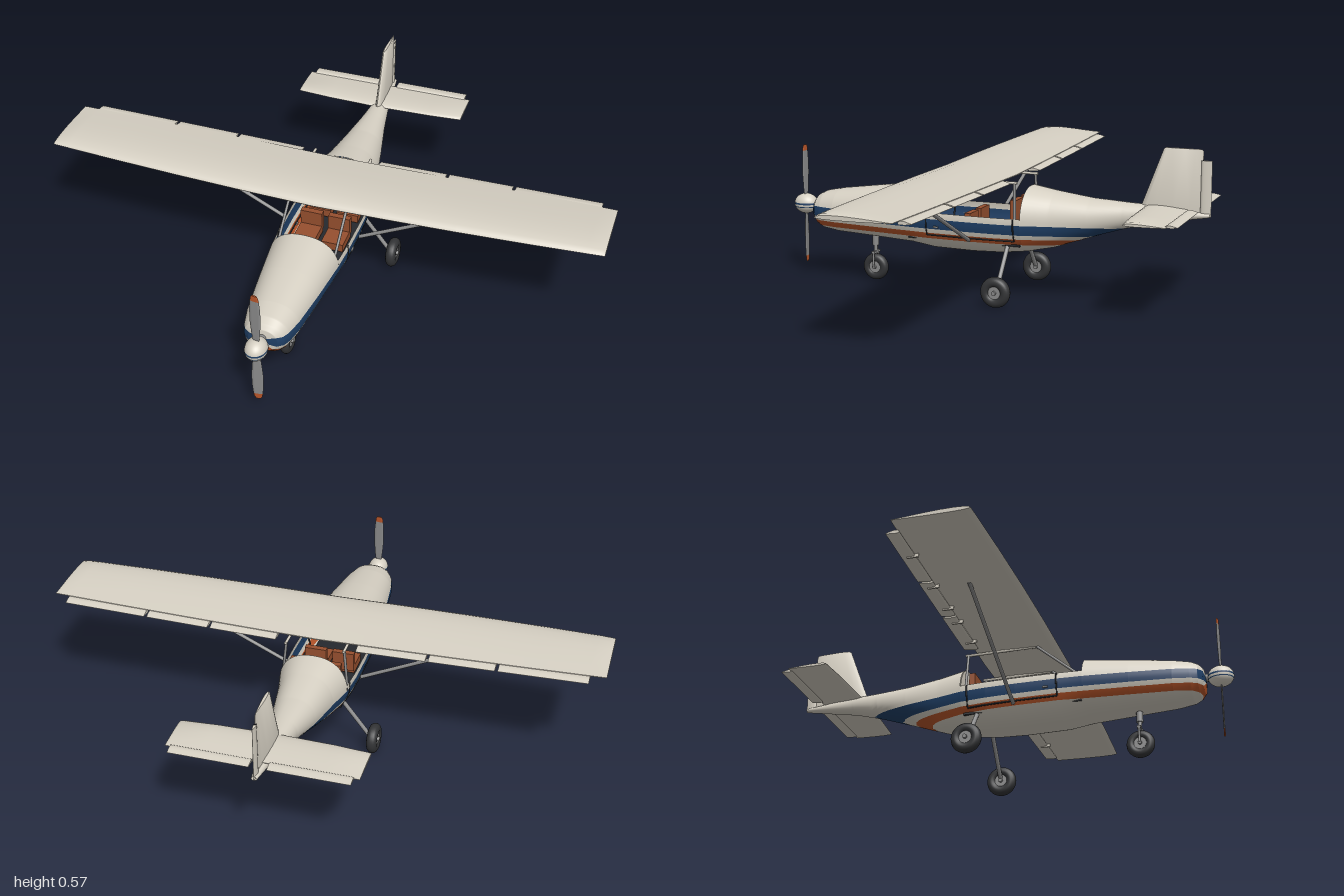
import * as THREE from 'three';
import { toCreasedNormals } from 'three/addons/utils/BufferGeometryUtils.js';

const mat = (name, color, side = THREE.FrontSide) => {
  const m = new THREE.MeshStandardMaterial({ color, side });
  m.name = name;
  return m;
};

export function createModel() {
  const cream = mat('cream paint', 0xd6d0c3, THREE.DoubleSide);
  const navy = mat('navy stripe', 0x1f3f66, THREE.DoubleSide);
  const orange = mat('orange stripe', 0xb9562a, THREE.DoubleSide);
  const metal = mat('grey metal', 0x8c8c8c);
  const rubber = mat('black rubber', 0x333436);
  const leather = mat('brown leather', 0x97502f);
  const dark = mat('dark trim', 0x26292e);

  const model = new THREE.Group();
  model.name = 'highWingAircraft';
  const add = (name, geo, material, x = 0, y = 0, z = 0, parent = model) => {
    const m = new THREE.Mesh(geo, material);
    m.name = name;
    m.position.set(x, y, z);
    parent.add(m);
    return m;
  };

  // Surface through equal-length rows of points; closed rows get end caps
  const loft = (rows, closed = false, crease = 0) => {
    if (closed) {
      const flat = r => {
        const c = [0, 1, 2].map(k => r.reduce((s, p) => s + p[k], 0) / r.length);
        return r.map(() => c);
      };
      rows = [flat(rows[0]), ...rows, flat(rows[rows.length - 1])];
    }
    const n = rows[0].length, index = [];
    for (let i = 0; i < rows.length - 1; i++) {
      for (let j = 0; j < (closed ? n : n - 1); j++) {
        const k = (j + 1) % n, a = i * n + j, b = a + n, c = (i + 1) * n + k, d = i * n + k;
        index.push(a, b, c, a, c, d);
      }
    }
    const g = new THREE.BufferGeometry();
    g.setAttribute('position', new THREE.Float32BufferAttribute(rows.flat(2), 3));
    g.setIndex(index);
    g.computeVertexNormals();
    return crease ? toCreasedNormals(g, crease) : g;
  };

  const rod = (name, a, b, r, material = metal) => {
    const from = new THREE.Vector3(...a), d = new THREE.Vector3(...b).sub(from);
    const m = add(name, new THREE.CylinderGeometry(r, r, d.length(), 10), material);
    m.position.copy(from).addScaledVector(d, 0.5);
    m.quaternion.setFromUnitVectors(new THREE.Vector3(0, 1, 0), d.normalize());
    return m;
  };

  // Fuselage stations: z, bottom, top, half width
  const stations = [
    [0.705, 0.25, 0.265, 0.006], [0.7, 0.215, 0.298, 0.05], [0.685, 0.199, 0.315, 0.07],
    [0.66, 0.186, 0.327, 0.081], [0.6, 0.178, 0.339, 0.094], [0.45, 0.172, 0.36, 0.111],
    [0.29, 0.165, 0.38, 0.126], [0.2, 0.152, 0.39, 0.131], [0.05, 0.15, 0.4, 0.133],
    [-0.06, 0.154, 0.402, 0.131], [-0.155, 0.166, 0.402, 0.124], [-0.25, 0.187, 0.387, 0.1],
    [-0.38, 0.232, 0.371, 0.075], [-0.5, 0.272, 0.366, 0.05], [-0.6, 0.299, 0.363, 0.034],
    [-0.8, 0.333, 0.346, 0.01],
  ];
  const section = z => {
    let i = 0;
    while (i < stations.length - 2 && stations[i + 1][0] > z) i++;
    const [a, b] = [stations[i], stations[i + 1]], t = (a[0] - z) / (a[0] - b[0]);
    return a.map((v, k) => v + (b[k] - v) * t);
  };
  // Side points of one section between two heights
  const sidePoints = (z, lo, hi, n) => {
    const [, bot, top, w] = section(z);
    const mid = (bot + top) / 2, half = (top - bot) / 2;
    const angle = y => Math.asin(THREE.MathUtils.clamp((y - mid) / half, -1, 1));
    const a = angle(lo), b = angle(hi);
    return Array.from({ length: n + 1 }, (_, j) => {
      const t = a + (b - a) * j / n;
      return [w * Math.pow(Math.max(Math.cos(t), 0), 0.85), mid + half * Math.sin(t), z];
    });
  };
  const mirror = row => row.map(([x, y, z]) => [-x, y, z]).reverse();

  // Fuselage shell in colour bands, cut down to the sills around the cabin
  const bands = [
    ['belly', 0, 0.203, cream, 10], ['orangeStripe', 0.203, 0.225, orange, 2],
    ['creamStripe', 0.225, 0.241, cream, 2], ['navyStripe', 0.241, 0.277, navy, 3],
    ['upperShell', 0.277, 1, cream, 12],
  ];
  const pieces = [['nose', 0.705, 0.29, 1], ['cabin', 0.29, -0.155, 0.3], ['tail', -0.155, -0.8, 1]];
  for (const [piece, z0, z1, limit] of pieces) {
    const inner = Array.from({ length: 60 }, (_, i) => z0 + (z1 - z0) * i / 59);
    const zs = [...new Set([...inner, ...stations.map(s => s[0]).filter(z => z < z0 && z > z1)])];
    zs.sort((a, b) => b - a);
    for (const [name, lo, hi, material, n] of bands) {
      const rows = zs.map(z => sidePoints(z, lo, Math.min(hi, limit), n));
      const label = piece + name[0].toUpperCase() + name.slice(1);
      if (lo === 0) add(label, loft(rows.map(r => [...mirror(r), ...r.slice(1)])), material);
      else if (hi === 1 && limit === 1) add(label, loft(rows.map(r => [...r, ...mirror(r).slice(1)])), material);
      else {
        add(label + 'Left', loft(rows), material);
        add(label + 'Right', loft(rows.map(mirror)), material);
      }
    }
  }
  // Cabin bulkheads, floor, panel and seats
  for (const [name, z] of [['frontBulkhead', 0.289], ['rearBulkhead', -0.154]]) {
    const r = sidePoints(z, 0, 1, 16).map(([x, y]) => new THREE.Vector2(x * 0.98, y));
    const l = r.map(p => new THREE.Vector2(-p.x, p.y)).reverse();
    add(name, new THREE.ShapeGeometry(new THREE.Shape([...r, ...l.slice(1, -1)])), cream, 0, 0, z);
  }
  add('cabinFloor', new THREE.BoxGeometry(0.2, 0.008, 0.43), dark, 0, 0.2, 0.067);
  add('instrumentPanel', new THREE.BoxGeometry(0.19, 0.06, 0.02), dark, 0, 0.285, 0.272);
  for (const s of [-1, 1]) {
    for (const [z, h] of [[0.1, 0.07], [-0.075, 0.13]]) {
      add('seatCushion', new THREE.BoxGeometry(0.08, 0.03, 0.09), leather, s * 0.052, 0.23, z);
      add('seatBack', new THREE.BoxGeometry(0.08, h, 0.022), leather, s * 0.052, 0.23 + h / 2, z - 0.045);
    }
  }

  // Aerofoil outline: chord fraction from the leading edge and relative thickness
  const foil = [[0, 0], [0.02, 0.4], [0.08, 0.75], [0.2, 0.98], [0.38, 1], [0.6, 0.75], [0.82, 0.38], [1, 0.06],
    [1, -0.06], [0.8, -0.25], [0.55, -0.45], [0.25, -0.55], [0.08, -0.45], [0.02, -0.25]];
  const wingRow = (x, y, lead, trail, h) => foil.map(([c, t]) => [x, y + t * h, lead + (trail - lead) * c]);

  // Main wing with dihedral and gently curved edges
  const wingY = x => 0.436 + 0.017 * Math.abs(x);
  const wingX = [-1, -0.985, -0.94, -0.75, -0.5, -0.25, 0, 0.25, 0.5, 0.75, 0.94, 0.985, 1];
  add('wing', loft(wingX.map(x => {
    const a = Math.abs(x), tip = a === 1 ? 0.55 : a > 0.98 ? 0.85 : 1;
    return wingRow(x, wingY(x), 0.196 - 0.028 * x * x, -0.102 + 0.012 * x * x, (0.026 - 0.009 * a) * tip);
  }), true, 0.7), cream);

  for (const s of [-1, 1]) {
    const span = (a, b) => s > 0 ? [a, b] : [-b, -a];
    // Flaps and aileron behind the wing
    for (const [name, a, b] of [['innerFlap', 0.145, 0.39], ['outerFlap', 0.4, 0.63], ['aileron', 0.64, 0.945]]) {
      add(name, loft(span(a, b).map(x => wingRow(x, wingY(x) - 0.009, -0.082, -0.133 + 0.006 * x * x, 0.008)),
        true, 0.7), cream);
    }
    for (const x of [0.2, 0.35, 0.45, 0.6, 0.8]) {
      add('flapHinge', new THREE.BoxGeometry(0.006, 0.012, 0.04), cream, s * x, wingY(x) - 0.011, -0.09);
    }
    // Elevator
    add('elevator', loft(span(0.03, 0.305).map(x => wingRow(x, 0.355, -0.725, -0.767, 0.006)), true, 0.7), cream);

    // Wing strut and cabin frame
    rod('wingStrut', [s * 0.115, 0.21, 0.04], [s * 0.59, 0.44, 0.03], 0.007);
    rod('windscreenPost', [s * 0.105, 0.3, 0.27], [s * 0.105, 0.43, 0.12], 0.005);
    rod('rearCabinPost', [s * 0.118, 0.29, -0.135], [s * 0.105, 0.425, -0.13], 0.005);
    rod('roofRail', [s * 0.105, 0.425, 0.12], [s * 0.105, 0.425, -0.14], 0.005, cream);
    // Door outline on the cabin side
    const [dz0, dz1] = [0.2, -0.13];
    const seam = (y, z) => {
      const p = sidePoints(z, y, y, 1)[0];
      return [s * p[0], p[1], z];
    };
    for (let i = 0; i < 6; i++) {
      const z = t => dz0 + (dz1 - dz0) * t / 6;
      rod('doorSill', seam(0.217, z(i)), seam(0.217, z(i + 1)), 0.003, dark);
    }
    for (const z of [dz0, dz1]) {
      rod('doorEdge', seam(0.217, z), seam(0.258, z), 0.003, dark);
      rod('doorEdge', seam(0.258, z), seam(0.298, z), 0.003, dark);
    }
    add('doorHandle', new THREE.BoxGeometry(0.006, 0.006, 0.018), metal, s * 0.133, 0.25, 0.16);
    rod('mainGearLeg', [s * 0.085, 0.205, -0.1], [s * 0.195, 0.062, -0.1], 0.008);
  }

  // Tailplane
  add('tailplane', loft([-0.325, -0.315, -0.2, 0, 0.2, 0.315, 0.325].map(x => {
    const a = Math.abs(x);
    return wingRow(x, 0.355, -0.573 - 0.14 * a * a, -0.732, a > 0.32 ? 0.006 : 0.011);
  }), true, 0.7), cream);

  // Fin and rudder: height, leading z, trailing z, half thickness
  const finRow = ([y, lead, trail, h]) =>
    foil.map(([c, t], j) => [-(j > 7 ? t * 1.8 : t) * h, y, lead + (trail - lead) * c]);
  add('fin', loft([[0.345, -0.553, -0.772, 0.014], [0.56, -0.633, -0.772, 0.009],
    [0.566, -0.64, -0.765, 0.005]].map(finRow), true, 0.7).translate(0, 0, 0), cream);
  add('rudder', loft([[0.335, -0.765, -0.803, 0.006], [0.528, -0.765, -0.803, 0.005]].map(finRow), true, 0.7), cream);
  add('rudderGap', new THREE.BoxGeometry(0.009, 0.04, 0.003), dark, 0, 0.51, -0.772);

  // Wheels
  const wheel = (name, x, y, z, r, tube) => {
    const g = new THREE.Group();
    g.name = name;
    g.position.set(x, y, z);
    add('tyre', new THREE.TorusGeometry(r - tube, tube, 14, 36).rotateY(Math.PI / 2), rubber, 0, 0, 0, g);
    const disc = (n, rad, w, m) => add(n, new THREE.CylinderGeometry(rad, rad, w, 24).rotateZ(Math.PI / 2), m, 0, 0, 0, g);
    disc('hub', r * 0.5, 0.026, metal);
    disc('axle', r * 0.14, 0.044, metal);
    model.add(g);
  };
  wheel('leftMainWheel', 0.21, 0.055, -0.1, 0.055, 0.019);
  wheel('rightMainWheel', -0.21, 0.055, -0.1, 0.055, 0.019);
  wheel('noseWheel', 0, 0.05, 0.465, 0.05, 0.017);

  // Nose gear leg and fork
  rod('noseLeg', [0, 0.1, 0.465], [0, 0.19, 0.465], 0.007);
  rod('noseCollar', [0, 0.132, 0.465], [0, 0.17, 0.465], 0.012);
  add('forkBridge', new THREE.BoxGeometry(0.05, 0.008, 0.014), metal, 0, 0.107, 0.465);
  for (const s of [-1, 1]) rod('forkArm', [s * 0.022, 0.108, 0.465], [s * 0.022, 0.05, 0.465], 0.004);

  // Spinner with two thin stripes, shaft and propeller
  const spinner = new THREE.Group();
  spinner.name = 'propeller';
  spinner.position.set(0, 0.27, 0.756);
  model.add(spinner);
  const cuts = [[0, 0.46, cream], [0.46, 0.515, navy], [0.515, 0.58, cream], [0.58, 0.61, navy], [0.61, 1, cream]];
  for (const [a, b, m] of cuts) {
    const g = new THREE.SphereGeometry(1, 32, 10, 0, Math.PI * 2, a * Math.PI, (b - a) * Math.PI);
    add('spinnerBand', g.scale(0.038, 0.038, 0.046), m, 0, 0, 0, spinner);
  }
  rod('propellerShaft', [0, 0.27, 0.69], [0, 0.27, 0.75], 0.014);
  const bladeRow = ([y, w]) => Array.from({ length: 12 }, (_, j) => {
    const t = j / 12 * Math.PI * 2, c = w * Math.cos(t);
    return [c, y, 0.003 * Math.sin(t) + c * 0.12];
  });
  for (const turn of [0, Math.PI]) {
    const blade = loft([[0.02, 0.009], [0.06, 0.015], [0.12, 0.02], [0.17, 0.019], [0.202, 0.016]].map(bladeRow), true, 0.9);
    const tip = loft([[0.202, 0.016], [0.215, 0.014], [0.224, 0.009]].map(bladeRow), true, 0.9);
    add('blade', blade.rotateZ(turn), metal, 0, 0, 0, spinner);
    add('bladeTip', tip.rotateZ(turn), orange, 0, 0, 0, spinner);
  }
  return model;
}
